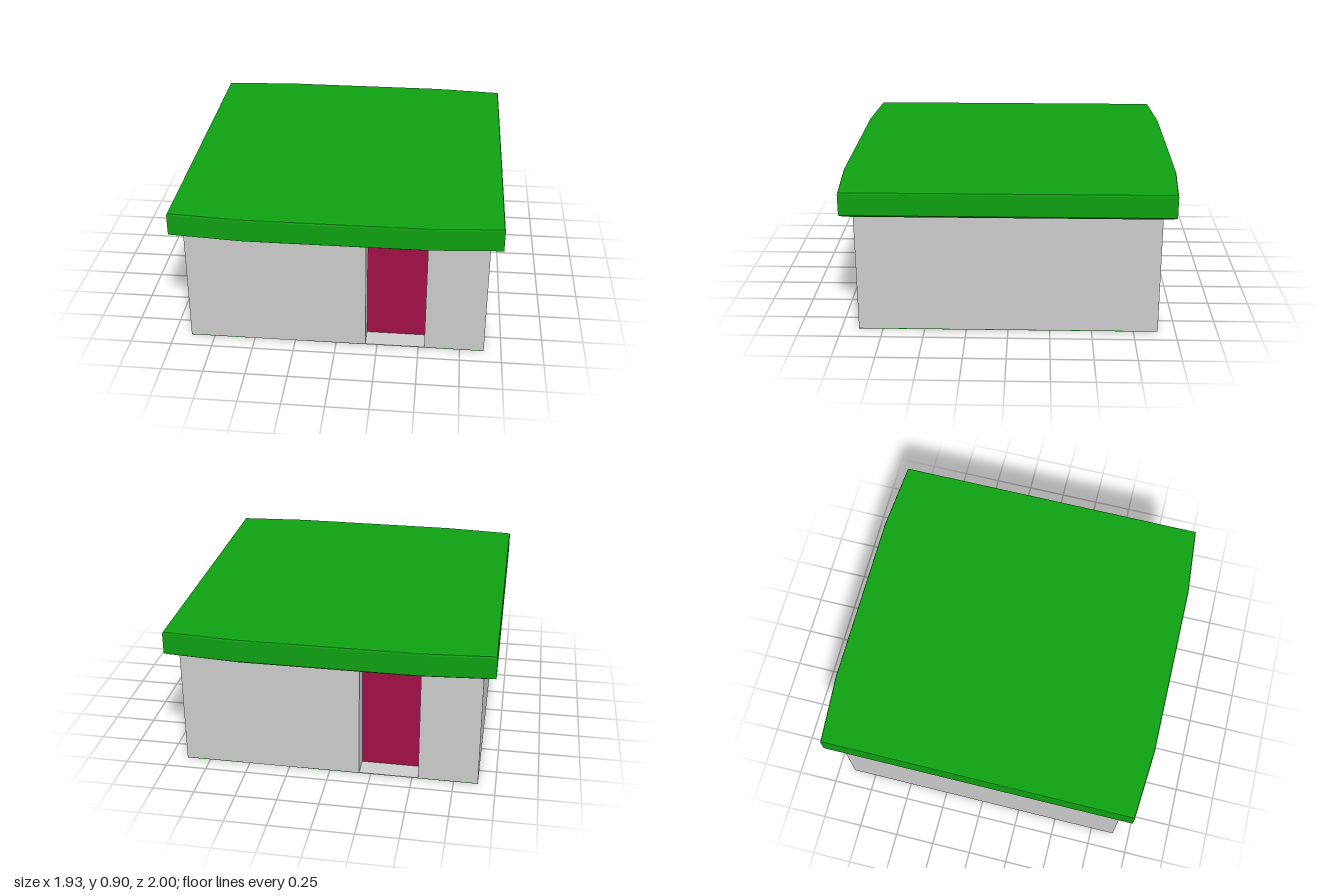
import * as THREE from 'three';

const grey = new THREE.MeshStandardMaterial({ color: 0xcccccc });
const green = new THREE.MeshStandardMaterial({ color: 0x0fa012 });
const red = new THREE.MeshStandardMaterial({ color: 0xa20f46 });

const HALF = 0.895;            // half width of the walls
const STRIP = (2 * HALF) / 5;  // floor strip and doorway width
const FLOOR = 0.004;           // floor thickness
const EAVE = 0.735;            // height of the wall tops
const DOOR_Z = 0.77;           // face of the recessed doors
const DOOR_T = 0.01;

function addMesh(group, name, geometry, material) {
  const mesh = new THREE.Mesh(geometry, material);
  mesh.name = name;
  group.add(mesh);
  return mesh;
}

// Wall block: square plan with one doorway notch at the front and one at the back
function wallGeometry() {
  const x0 = STRIP / 2, x1 = STRIP * 1.5, z = DOOR_Z - DOOR_T;
  const half = [[-HALF, -HALF], [x0, -HALF], [x0, -z], [x1, -z], [x1, -HALF]];
  const plan = [...half, [HALF, -HALF]].slice(0, 5)
    .concat([[HALF, -HALF]])
    .concat(half.slice(1).map(([x, y]) => [-x, -y]));
  // insert the far right corner between the two half outlines
  plan.splice(6, 0, [HALF, HALF]);
  plan.push([-HALF, HALF]);
  const shape = new THREE.Shape(plan.map(([x, y]) => new THREE.Vector2(x, y)));
  return new THREE.ExtrudeGeometry(shape, { depth: EAVE - FLOOR, bevelEnabled: false })
    .rotateX(-Math.PI / 2)
    .translate(0, FLOOR, 0);
}

// Roof slab: eight-sided outline stacked in rings, with a chamfered underside
function roofGeometry() {
  const outline = [
    [0.965, 0.967], [0.54, 1], [-0.54, 1], [-0.965, 0.967],
    [-0.965, -0.967], [-0.54, -1], [0.54, -1], [0.965, -0.967],
  ];
  // [height, inset]
  const rings = [[0.73, 0.065], [0.737, 0.028], [0.755, 0], [0.882, 0], [0.892, 0.004], [0.896, 0.013]];
  const n = outline.length, position = [], index = [];
  for (const [y, inset] of rings)
    for (const [x, z] of outline)
      position.push(x - Math.sign(x) * inset, y, z - Math.sign(z) * inset);
  for (let r = 0; r < rings.length - 1; r++)
    for (let i = 0; i < n; i++) {
      const a = r * n + i, b = r * n + ((i + 1) % n);
      index.push(b, a, a + n, b, a + n, b + n);
    }
  // bottom and top caps
  const top = (rings.length - 1) * n;
  for (let i = 1; i < n - 1; i++) {
    index.push(0, i, i + 1);
    index.push(top, top + i + 1, top + i);
  }
  const geometry = new THREE.BufferGeometry();
  geometry.setAttribute('position', new THREE.Float32BufferAttribute(position, 3));
  geometry.setIndex(index);
  const flat = geometry.toNonIndexed();
  flat.computeVertexNormals();
  return flat;
}

export function createModel() {
  const house = new THREE.Group();
  house.name = 'house';

  addMesh(house, 'walls', wallGeometry(), grey);
  addMesh(house, 'roof', roofGeometry(), green);

  // Floor of alternating strips running front to back
  for (let i = 0; i < 5; i++) {
    const strip = addMesh(house, 'floorStrip', new THREE.BoxGeometry(STRIP, FLOOR, 2 * HALF), i % 2 ? grey : green);
    strip.position.set((i - 2) * STRIP, FLOOR / 2, 0);
  }

  // Recessed doors, front and back, turned half way round from each other
  for (const [name, side] of [['frontDoor', 1], ['backDoor', -1]]) {
    const door = addMesh(house, name, new THREE.BoxGeometry(STRIP, EAVE - FLOOR, DOOR_T), red);
    door.position.set(side * STRIP, (EAVE + FLOOR) / 2, side * (DOOR_Z - DOOR_T / 2));
  }
  return house;
}
